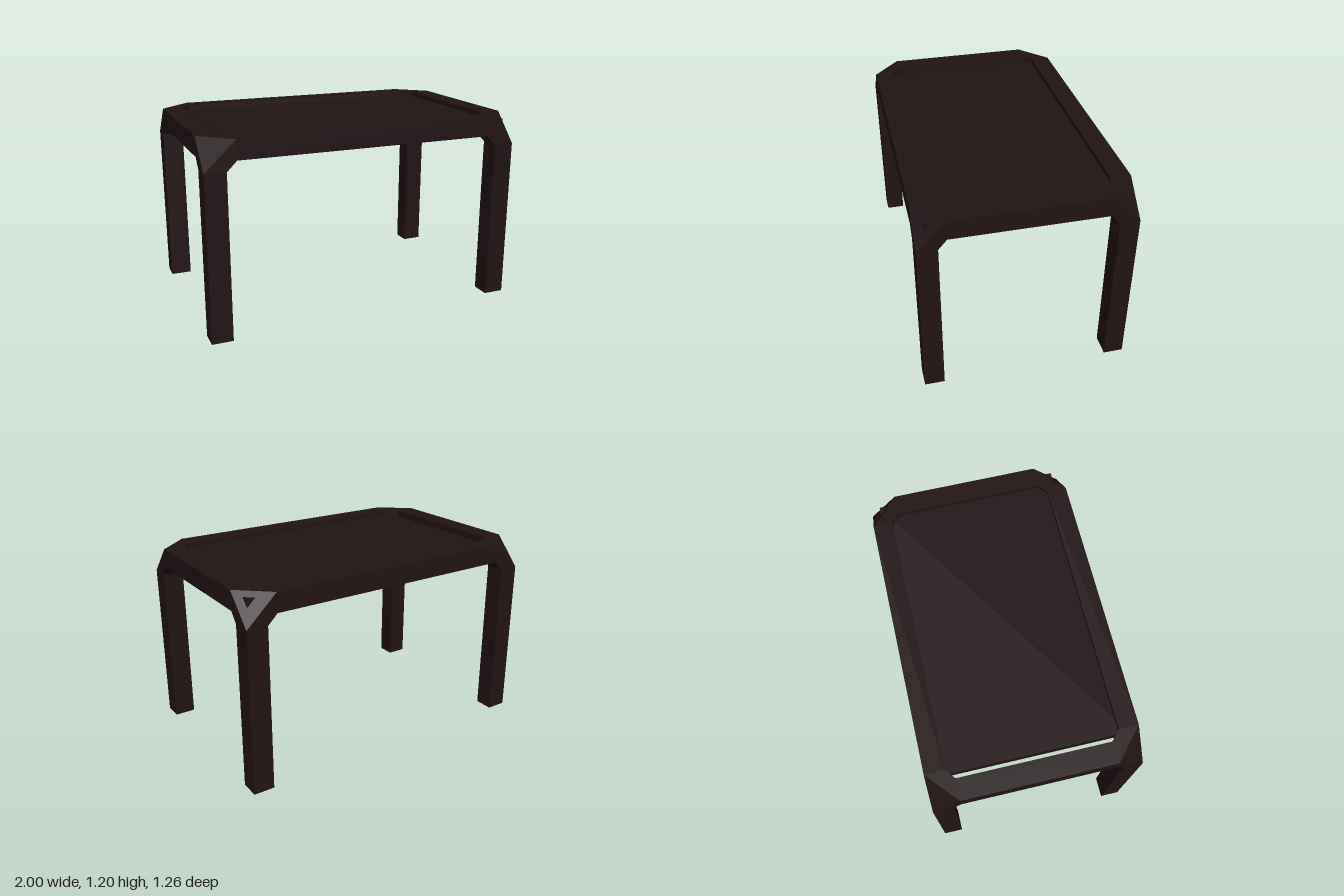
import * as THREE from 'three';
import { ConvexGeometry } from 'three/addons/geometries/ConvexGeometry.js';

// Outer and inner faces of the frame, and where the corner joints begin
const X = 1, Z = 0.63, TOP = 1.2;
const XI = 0.87, ZI = 0.51, UNDER = 1.08;
const X_END = 0.81, Z_END = 0.46, LEG_TOP = 1.02;

export function createModel() {
  const table = new THREE.Group();
  table.name = 'table';
  const wood = new THREE.MeshStandardMaterial({ color: 0x211314, flatShading: true });

  const add = (name, geometry) => {
    const mesh = new THREE.Mesh(geometry, wood);
    mesh.name = name;
    table.add(mesh);
  };
  const box = (name, x0, x1, y0, y1, z0, z1) => {
    const g = new THREE.BoxGeometry(Math.abs(x1 - x0), y1 - y0, Math.abs(z1 - z0));
    add(name, g.translate((x0 + x1) / 2, (y0 + y1) / 2, (z0 + z1) / 2));
  };

  for (const sz of [1, -1]) {
    const end = sz > 0 ? 'front' : 'back';
    box(end + 'Rail', -X_END, X_END, UNDER, TOP, sz * ZI, sz * Z);

    for (const sx of [1, -1]) {
      const corner = end + (sx > 0 ? 'Left' : 'Right');
      box(corner + 'Leg', sx * XI, sx * X, 0, LEG_TOP, sz * ZI, sz * Z);

      // Bevelled joint: hull of the square ends of the leg and both rails
      const points = [];
      for (const a of [0, 1]) {
        for (const b of [0, 1]) {
          const x = sx * (a ? X : XI);
          points.push(
            new THREE.Vector3(x, LEG_TOP, sz * (b ? Z : ZI)),
            new THREE.Vector3(x, b ? TOP : UNDER, sz * Z_END),
            new THREE.Vector3(sx * X_END, b ? TOP : UNDER, sz * (a ? Z : ZI))
          );
        }
      }
      add(corner + 'Joint', new ConvexGeometry(points));
    }
  }

  for (const sx of [1, -1]) {
    box(sx > 0 ? 'leftRail' : 'rightRail', sx * XI, sx * X, UNDER, TOP, -Z_END, Z_END);
  }

  // Recessed top panel, set off-centre: it leaves a slot at one end
  // and its corners break through the bevels at the other
  box('topPanel', -0.83, 0.96, 1.1, 1.17, -0.57, 0.57);

  return table;
}
